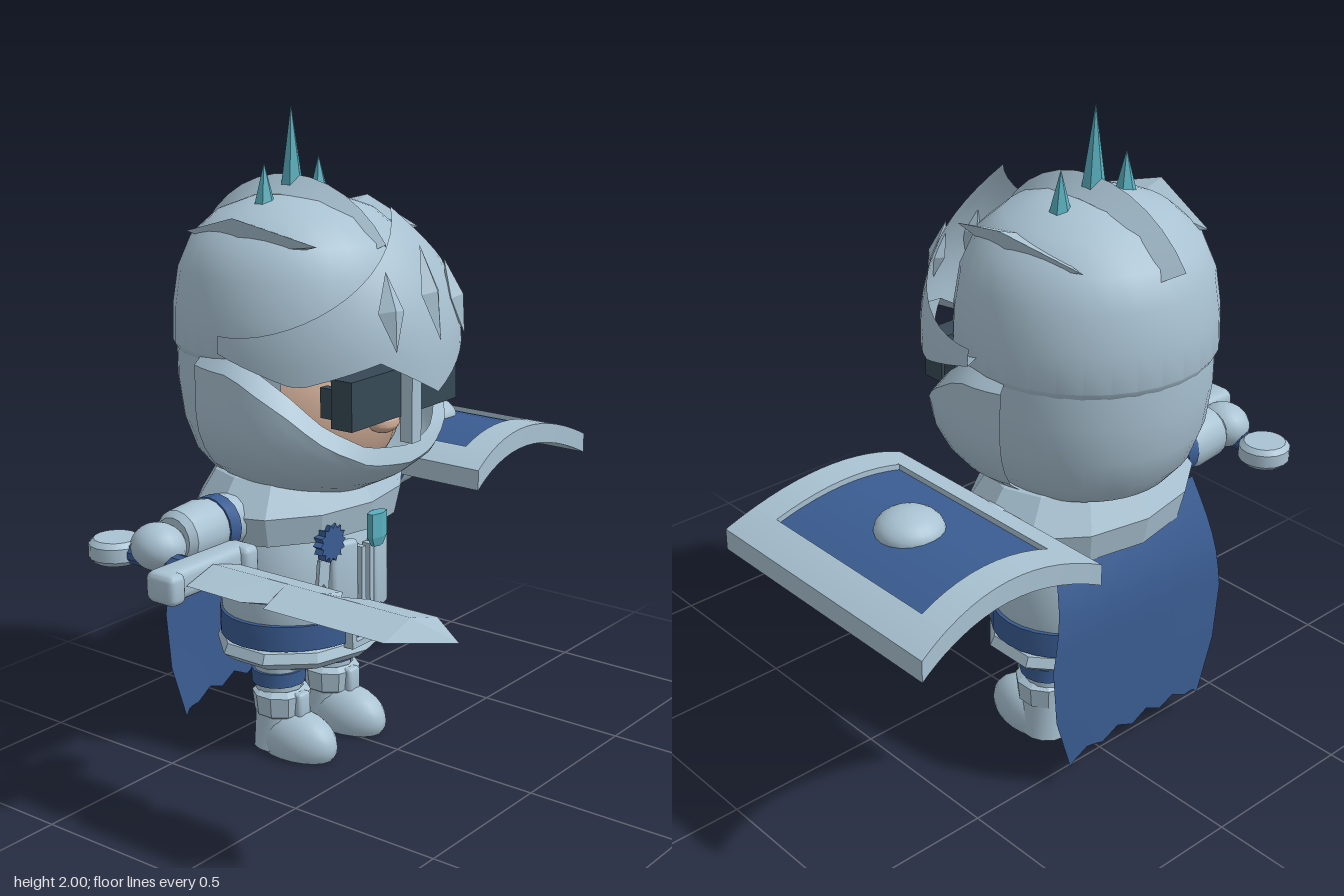
import * as THREE from 'three';
import { toCreasedNormals } from 'three/addons/utils/BufferGeometryUtils.js';
import { ParametricGeometry } from 'three/addons/geometries/ParametricGeometry.js';
import { RoundedBoxGeometry } from 'three/addons/geometries/RoundedBoxGeometry.js';

const CX = -0.07, CZ = -0.32; // body axis
const paint = (name, color) => {
  const m = new THREE.MeshStandardMaterial({ color, side: THREE.DoubleSide });
  m.name = name;
  return m;
};

export function createModel() {
  const root = new THREE.Group();
  const steel = paint('steel', 0xa9c2d2), blue = paint('blue cloth', 0x3a5c92), teal = paint('teal crystal', 0x5ab0c0);
  const skin = paint('skin', 0xd2ae98), dark = paint('dark glass', 0x364955);

  // helpers
  const add = (name, geo, mat, x = 0, y = 0, z = 0, crease = 0.6) => {
    const m = new THREE.Mesh(toCreasedNormals(geo, crease), mat);
    m.name = name;
    m.position.set(x, y, z);
    root.add(m);
    return m;
  };
  const lathe = (pts, seg = 32, start = 0, len = Math.PI * 2) =>
    new THREE.LatheGeometry(pts.map(p => new THREE.Vector2(...p)), seg, start, len);
  const cylX = (r1, r2, len, seg = 16) => new THREE.CylinderGeometry(r1, r2, len, seg).rotateZ(Math.PI / 2);
  const ball = (x, y, z) => new THREE.SphereGeometry(1, 20, 14).scale(x, y, z);
  const sheet = (f, nu, nv) => new ParametricGeometry((u, v, t) => t.set(...f(u, v)), nu, nv);
  const along = (pts, x) => { // piecewise linear lookup
    for (let i = 1; i < pts.length; i++) if (x <= pts[i][0])
      return THREE.MathUtils.mapLinear(x, pts[i - 1][0], pts[i][0], pts[i - 1][1], pts[i][1]);
    return pts[pts.length - 1][1];
  };

  // helmet skull: closed dome above, open-faced band below
  add('helmetDome', lathe([[0.37, 1.29], [0.382, 1.31], [0.378, 1.42], [0.36, 1.53], [0.32, 1.62], [0.24, 1.69], [0.13, 1.73], [0, 1.745]]),
    steel, CX, 0, -0.325).scale.z = 0.98;
  add('helmetBack', lathe([[0.2, 0.88], [0.27, 0.92], [0.32, 0.98], [0.355, 1.08], [0.37, 1.2], [0.37, 1.31]], 28, 1, Math.PI * 2 - 2),
    steel, CX, 0, -0.325).scale.z = 0.98;
  add('helmetCrest', new THREE.TorusGeometry(0.33, 0.055, 4, 12, Math.PI * 0.64).rotateZ(Math.PI * 0.18).rotateY(Math.PI / 2).scale(1, 1, 1.08),
    steel, CX, 1.41, -0.34, 0.4);
  for (const s of [-1, 1]) {
    const fin = add('helmetFin', new THREE.OctahedronGeometry(1).scale(0.1, 0.045, 0.25), steel, CX + s * 0.24, 1.635, -0.3, 0.2);
    fin.rotation.z = s * 0.75;
  }
  for (const [dx, r, h] of [[0, 0.042, 0.29], [-0.125, 0.034, 0.13], [0.125, 0.034, 0.13]])
    add('crystalSpike', new THREE.ConeGeometry(r, h, 6), teal, CX + dx, 1.71 + h / 2, -0.34, 0.2);

  // visor: shell with a pointed brow and a curved lower edge
  const visorPoint = (a, y, grow = 0) => {
    const s = 1 - 2 * Math.max(0, y - 1.3) ** 2 + grow;
    return [CX + 0.41 * s * Math.sin(a), y, -0.27 + 0.47 * s * Math.cos(a)];
  };
  const lower = [[0, 1.21], [0.5, 1.32], [1.05, 1.25], [1.6, 1.33]];
  add('visor', sheet((u, v) => {
    const a = (u - 0.5) * 3.2, b = along(lower, Math.abs(a)), top = 1.73 - 0.35 * Math.abs(Math.sin(a));
    return visorPoint(a, b + (top - b) * v);
  }, 32, 6), steel);
  add('visorEdge', sheet((u, v) => {
    const a = (u - 0.5) * 3.2, p = visorPoint(a, along(lower, Math.abs(a)));
    const k = 1 - v * 0.1;
    return [CX + (p[0] - CX) * k, p[1] + v * 0.02, -0.27 + (p[2] + 0.27) * k];
  }, 32, 1), steel);
  for (const [a, y, h] of [[0, 1.495, 0.14], [-0.4, 1.46, 0.115], [0.4, 1.46, 0.115]]) {
    const slot = add('visorSlot', new THREE.CylinderGeometry(0.015, 0.042, 1, 6).scale(1, 0.001, 1).rotateX(Math.PI / 2), steel, ...visorPoint(a, y, 0.01), 0.1);
    slot.geometry = toCreasedNormals(new THREE.OctahedronGeometry(1).scale(0.042, h, 0.028), 0.1);
    slot.rotation.set(-0.28, a, 0, 'YXZ');
  }

  // jaw guard with an inward lip around the face opening
  const jawTop = [[0, 1.03], [0.45, 1.05], [0.8, 1.12], [1.1, 1.22], [1.5, 1.32], [2, 1.33]];
  const jawShape = [[0.87, 0.46], [0.92, 0.7], [0.98, 0.88], [1.05, 0.97], [1.12, 1], [1.35, 1]];
  add('jawGuard', sheet((u, v) => {
    const a = (u - 0.5) * 3.8, top = along(jawTop, Math.abs(a));
    const y = v > 0.8 ? top - 0.05 * (1 - (v - 0.8) * 5) : 0.87 + (top - 0.92) * v / 0.8;
    let k = along(jawShape, y);
    if (v > 0.8) k *= 1 - 0.11 * (v - 0.8) * 5;
    return [CX + 0.41 * k * Math.sin(a), y, -0.27 + (Math.cos(a) > 0 ? 0.42 : 0.38) * k * Math.cos(a)];
  }, 32, 10), steel);

  // face and shades
  add('face', ball(0.33, 0.35, 0.33), skin, CX, 1.15, -0.33);
  add('nose', ball(0.055, 0.035, 0.045), skin, CX, 1.09, 0.0);
  add('shades', new THREE.BoxGeometry(0.51, 0.145, 0.075), dark, CX, 1.195, 0.045);
  for (const s of [-1, 1]) add('shadesArm', new THREE.BoxGeometry(0.03, 0.09, 0.06), dark, CX + s * 0.23, 1.19, -0.01);
  add('noseGuard', new THREE.BoxGeometry(0.045, 0.21, 0.045), steel, CX, 1.15, 0.1);

  // torso
  add('torso', lathe([[0, 0.27], [0.17, 0.28], [0.23, 0.32], [0.27, 0.4], [0.282, 0.5], [0.28, 0.6], [0.26, 0.7], [0.2, 0.85]]),
    steel, CX, 0, CZ).scale.z = 0.85;
  add('mantle', lathe([[0.25, 0.72], [0.36, 0.74], [0.385, 0.83], [0.31, 0.93], [0.2, 0.98]], 12), steel, CX, 0, CZ, 0.2).scale.z = 0.72;
  add('belt', lathe([[0.27, 0.38], [0.288, 0.385], [0.288, 0.465], [0.27, 0.47]]), blue, CX, 0, CZ).scale.z = 0.83;
  add('skirt', lathe([[0.22, 0.3], [0.265, 0.315], [0.305, 0.345], [0.29, 0.375], [0.26, 0.385]], 10), steel, CX, 0, CZ, 0.2).scale.z = 0.83;
  for (const s of [-1, 1]) {
    const p = add('chestPanel', new RoundedBoxGeometry(0.1, 0.26, 0.035, 2, 0.015), steel, CX + s * 0.085, 0.59, -0.09);
    p.rotation.y = s * 0.25;
    add('chestTrim', new THREE.BoxGeometry(0.02, 0.22, 0.03), steel, CX + s * 0.02, 0.58, -0.075);
  }
  for (const s of [-1, 1]) {
    add('buckleSide', new THREE.BoxGeometry(0.022, 0.11, 0.035), steel, CX + s * 0.064, 0.425, -0.08);
    add('buckleRail', new THREE.BoxGeometry(0.15, 0.02, 0.035), steel, CX, 0.425 + s * 0.045, -0.08);
  }
  add('buckleProng', new THREE.BoxGeometry(0.08, 0.018, 0.03), steel, CX + 0.03, 0.425, -0.08);
  add('collarGem', new THREE.CylinderGeometry(0.042, 0.042, 0.075, 6).scale(1, 1, 0.5), teal, CX, 0.765, -0.025, 0.2);
  add('collarGemTip', new THREE.CylinderGeometry(0.042, 0.025, 0.03, 6).scale(1, 1, 0.5), teal, CX, 0.7125, -0.025, 0.2);

  // rosette and its ribbon
  const star = new THREE.Shape();
  for (let i = 0; i < 28; i++) {
    const r = i % 2 ? 0.046 : 0.06, a = i * Math.PI / 14;
    star[i ? 'lineTo' : 'moveTo'](r * Math.cos(a), r * Math.sin(a));
  }
  add('rosette', new THREE.ExtrudeGeometry(star, { depth: 0.03, bevelEnabled: false }), blue, -0.225, 0.735, -0.1, 0.2);
  const ribbon = new THREE.Shape([[-0.025, 0], [0.025, 0], [0.025, -0.1], [0, -0.075], [-0.025, -0.1]].map(p => new THREE.Vector2(...p)));
  add('ribbon', new THREE.ExtrudeGeometry(ribbon, { depth: 0.012, bevelEnabled: false }), steel, -0.235, 0.68, -0.105).rotation.z = -0.12;

  // legs and boots
  for (const s of [-1, 1]) {
    const x = CX + s * 0.125;
    add('leg', new THREE.CylinderGeometry(0.08, 0.07, 0.16, 16), steel, x, 0.25, CZ);
    add('legBand', new THREE.CylinderGeometry(0.085, 0.085, 0.045, 16), blue, x, 0.25, CZ);
    add('bootShaft', new THREE.CylinderGeometry(0.072, 0.082, 0.16, 14), steel, x, 0.09, CZ);
    add('bootCuff', lathe([[0.07, 0.12], [0.085, 0.13], [0.092, 0.195], [0.07, 0.21]], 10), steel, x, 0, CZ + 0.01, 0.3);
    add('bootTongue', new RoundedBoxGeometry(0.055, 0.11, 0.04, 2, 0.012), steel, x, 0.15, CZ + 0.09);
    const foot = ball(0.087, 0.1, 0.15), p = foot.attributes.position;
    for (let i = 0; i < p.count; i++) p.setY(i, Math.max(-0.04, p.getY(i)));
    add('foot', foot, steel, x, 0.04, -0.25);
  }

  // arms
  for (const s of [-1, 1]) {
    const X = d => CX + s * d;
    add('shoulder', cylX(0.08, 0.08, 0.18), steel, X(0.3), 0.81, CZ);
    add('armBand', cylX(0.088, 0.088, 0.045), blue, X(0.4), 0.81, CZ);
    add('forearm', lathe([[0, -0.08], [0.065, -0.08], [0.082, -0.06], [0.09, 0.04], [0.085, 0.07], [0, 0.08]], 16).rotateZ(s * Math.PI / 2), steel, X(0.495), 0.81, CZ);
    add('hand', ball(0.075, 0.07, 0.085), steel, X(0.635), 0.805, CZ);
    add('thumb', ball(0.04, 0.035, 0.045), steel, X(0.61), 0.75, CZ + 0.04);
  }

  // sword: each station is [z, left half width, right half width]
  const SX = -0.715, SY = 0.77;
  const stations = [[-0.1, 0.11, 0.11], [0.1, 0.115, 0.11], [0.165, 0.08, 0.11], [0.18, 0.115, 0.11], [0.27, 0.115, 0.11],
    [0.29, 0.115, 0.078], [0.36, 0.115, 0.11], [0.58, 0.115, 0.115], [0.73, 0, 0]];
  add('blade', sheet((u, v) => {
    const [z, l, r] = stations[Math.round(v * 8)], k = Math.round(u * 4) % 4, t = l ? 0.033 : 0;
    return [SX + [-l, 0, r, 0][k], SY + [0, t, 0, -t][k], z];
  }, 4, 8), steel, 0, 0, 0, 0.2);
  add('swordGuard', new RoundedBoxGeometry(0.36, 0.09, 0.09, 2, 0.025), steel, SX, SY, -0.15);
  for (const s of [-1, 1]) add('guardEnd', new RoundedBoxGeometry(0.06, 0.09, 0.1, 2, 0.02), steel, SX + s * 0.15, SY, -0.135);
  add('grip', new THREE.CylinderGeometry(0.032, 0.032, 0.34, 10).rotateX(Math.PI / 2), blue, SX, SY, -0.32);
  add('pommel', lathe([[0, -0.035], [0.065, -0.035], [0.08, -0.02], [0.08, 0.02], [0.065, 0.035], [0, 0.035]], 16), steel, SX, SY, -0.48);

  // shield: flat boxes bent over one arch, corners drawn out
  const HX = 0.575, HZ = -0.31;
  const bent = (name, mat, x, z, w, d, y, h) => {
    const g = new THREE.BoxGeometry(w, h, d, 10, 1, 10).translate(x, y, z), p = g.attributes.position;
    for (let i = 0; i < p.count; i++) {
      const q = p.getX(i);
      p.setXYZ(i, q, p.getY(i) + 0.905 - 0.8 * q * q - 0.03 * q, p.getZ(i) * (1 + 0.7 * q * q));
    }
    return add(name, g, mat, HX, 0, HZ);
  };
  bent('shieldBoard', steel, 0, 0, 0.62, 0.79, 0, 0.035);
  bent('shieldPanel', blue, 0, 0, 0.44, 0.61, 0.021, 0.008);
  for (const s of [-1, 1]) {
    bent('shieldRimSide', steel, s * 0.267, 0, 0.095, 0.8, 0.01, 0.065);
    bent('shieldRimEnd', steel, 0, s * 0.352, 0.44, 0.096, 0.01, 0.065);
  }
  add('shieldBoss', ball(0.1, 0.06, 0.1), steel, HX, 0.925, HZ);
  add('shieldStrap', ball(0.1, 0.045, 0.07), skin, 0.61, 0.845, HZ);

  // cape with a ragged hem
  add('cape', sheet((u, v) => {
    const w = along([[0, 0.29], [0.5, 0.352], [0.75, 0.335], [1, 0.275]], v), e = 2 * u - 1;
    const hem = 0.1 * Math.max(0, 1 - e * e) ** 0.5 * (0.4 + 0.6 * Math.abs(((u * 4.5) % 1) - 0.5));
    return [CX + w * e, 0.82 - v * (0.74 - hem), -0.5 - 0.08 * Math.sin(Math.min(1, v * 2.5) * Math.PI / 2) - 0.015 * (1 - e * e)];
  }, 36, 12), blue);

  return root;
}
